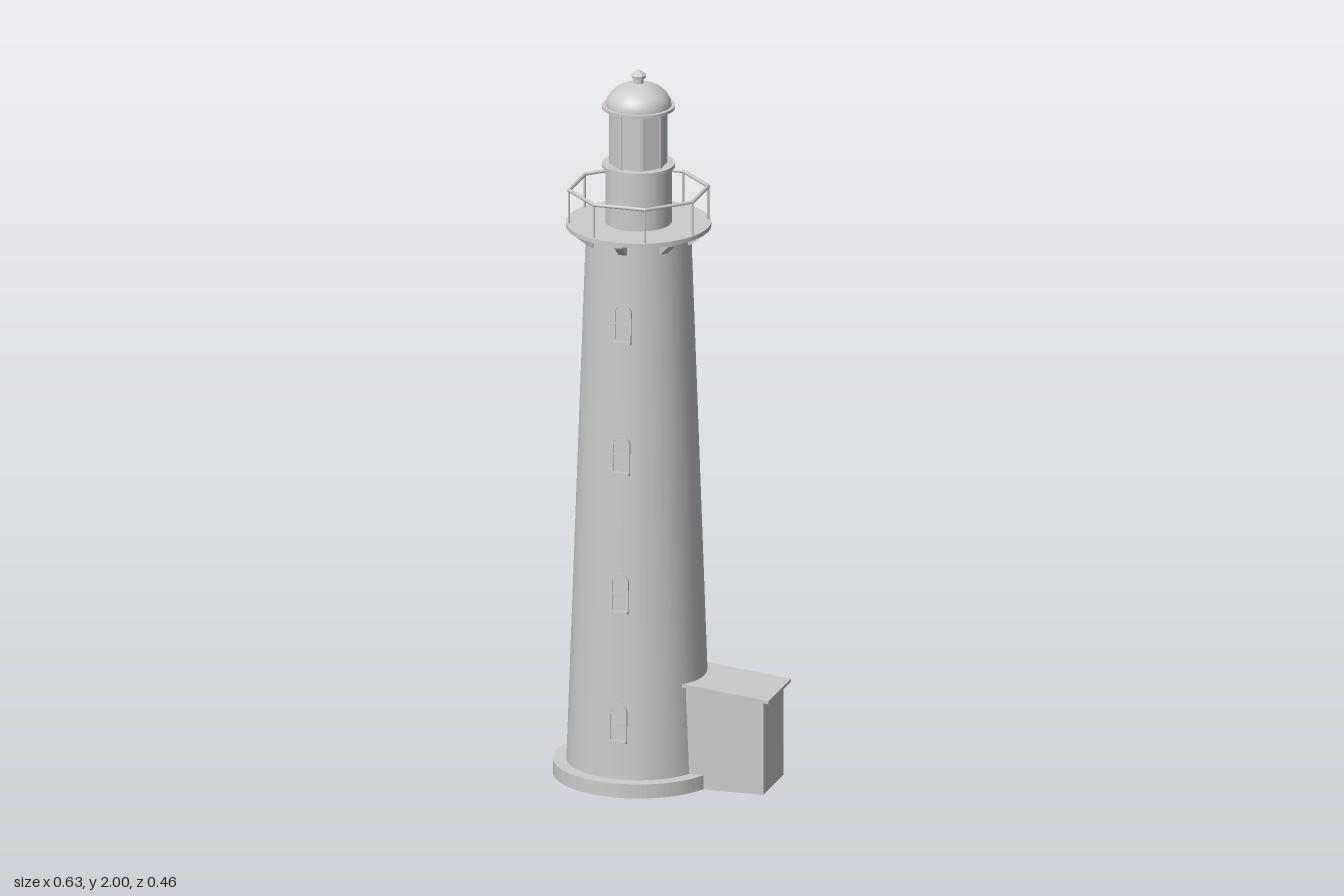
import * as THREE from 'three';

const material = new THREE.MeshStandardMaterial({ color: 0xcccccc });
const flat = new THREE.MeshStandardMaterial({ color: 0xcccccc, flatShading: true });
const open = new THREE.MeshStandardMaterial({ color: 0xcccccc, side: THREE.DoubleSide });

const TOWER_X = -0.085;
const TOWER_BOTTOM = 0.197, TOWER_TOP = 0.142, TOWER_HEIGHT = 1.56;
const towerRadius = (y) => THREE.MathUtils.lerp(TOWER_BOTTOM, TOWER_TOP, y / TOWER_HEIGHT);

function add(parent, name, geometry, x = 0, y = 0, z = 0, mat = material) {
  const mesh = new THREE.Mesh(geometry, mat);
  mesh.name = name;
  mesh.position.set(x, y, z);
  parent.add(mesh);
  return mesh;
}

// Upright cylinder given by its bottom and top heights
function drum(parent, name, rBottom, rTop, y0, y1, sides = 48, mat = material) {
  return add(parent, name, new THREE.CylinderGeometry(rTop, rBottom, y1 - y0, sides), 0, (y0 + y1) / 2, 0, mat);
}

// Round-headed outline standing on y = 0
function arch(Type, halfWidth, height, lift = 0) {
  const path = new Type();
  path.moveTo(-halfWidth, lift);
  path.lineTo(halfWidth, lift);
  path.lineTo(halfWidth, height - halfWidth);
  path.absarc(0, height - halfWidth, halfWidth, 0, Math.PI, false);
  path.closePath();
  return path;
}

function createWindow() {
  const win = new THREE.Group();
  win.name = 'window';
  const frame = arch(THREE.Shape, 0.026, 0.11);
  frame.holes.push(arch(THREE.Path, 0.019, 0.103, 0.007));
  const extrude = (shape, depth) => new THREE.ExtrudeGeometry(shape, { depth, bevelEnabled: false, curveSegments: 10 });
  add(win, 'windowFrame', extrude(frame, 0.012), 0, 0, -0.007);
  add(win, 'windowPane', extrude(arch(THREE.Shape, 0.02, 0.104, 0.006), 0.008), 0, 0, -0.007);
  add(win, 'windowBar', new THREE.BoxGeometry(0.04, 0.004, 0.004), 0, 0.055, 0.002);
  add(win, 'windowSill', new THREE.BoxGeometry(0.052, 0.008, 0.022), 0, 0.002, 0.002);
  return win;
}

// Box between two heights whose top slopes from yInner (at x0) to yOuter (at x1)
function slopedBlock(x0, x1, halfDepth, bottomInner, bottomOuter, topInner, topOuter) {
  const shape = new THREE.Shape([
    new THREE.Vector2(x0, bottomInner), new THREE.Vector2(x1, bottomOuter),
    new THREE.Vector2(x1, topOuter), new THREE.Vector2(x0, topInner),
  ]);
  return new THREE.ExtrudeGeometry(shape, { depth: halfDepth * 2, bevelEnabled: false }).translate(0, 0, -halfDepth);
}

function createTower() {
  const tower = new THREE.Group();
  tower.name = 'tower';
  add(tower, 'towerWall', new THREE.CylinderGeometry(TOWER_TOP, TOWER_BOTTOM, TOWER_HEIGHT, 48, 1, true), 0, TOWER_HEIGHT / 2, 0, open);

  // Plinth ring, open in the middle
  const ring = new THREE.Shape().absarc(0, 0, 0.232, 0, Math.PI * 2);
  ring.holes.push(new THREE.Path().absarc(0, 0, 0.19, 0, Math.PI * 2));
  const plinth = new THREE.ExtrudeGeometry(ring, { depth: 0.04, bevelEnabled: false, curveSegments: 48 });
  add(tower, 'plinth', plinth.rotateX(-Math.PI / 2));

  // Four windows each on the front and the back
  const lean = Math.atan((TOWER_BOTTOM - TOWER_TOP) / TOWER_HEIGHT);
  for (const side of [0, Math.PI]) {
    const column = new THREE.Group();
    column.name = 'windowColumn';
    column.rotation.y = side;
    for (const y of [0.145, 0.51, 0.9, 1.27]) {
      const win = createWindow();
      win.position.set(0, y, towerRadius(y));
      win.rotation.x = -lean;
      column.add(win);
    }
    tower.add(column);
  }
  return tower;
}

function createGallery() {
  const gallery = new THREE.Group();
  gallery.name = 'gallery';
  drum(gallery, 'deck', 0.197, 0.197, 1.557, 1.569);

  // Wedge brackets under the deck
  const wedge = new THREE.Shape([
    new THREE.Vector2(0.13, 1.518), new THREE.Vector2(0.148, 1.518),
    new THREE.Vector2(0.188, 1.55), new THREE.Vector2(0.188, 1.558), new THREE.Vector2(0.13, 1.558),
  ]);
  const bracket = new THREE.ExtrudeGeometry(wedge, { depth: 0.022, bevelEnabled: false }).translate(0, 0, -0.011);

  // Eight-sided railing with a post at every corner
  const apothem = 0.175, railY = 1.663;
  const corner = apothem / Math.cos(Math.PI / 8);
  const side = 2 * apothem * Math.tan(Math.PI / 8);
  const rail = new THREE.CylinderGeometry(0.005, 0.005, side + 0.004, 8).rotateX(Math.PI / 2);
  const post = new THREE.CylinderGeometry(0.003, 0.003, 0.096, 6);
  for (let i = 0; i < 8; i++) {
    const a = (i * Math.PI) / 4, b = a + Math.PI / 8;
    add(gallery, 'bracket', bracket).rotation.y = a;
    add(gallery, 'handrail', rail, apothem * Math.cos(a), railY, -apothem * Math.sin(a)).rotation.y = a;
    add(gallery, 'railPost', post, corner * Math.cos(b), 1.615, -corner * Math.sin(b));
  }
  return gallery;
}

function createLantern() {
  const lantern = new THREE.Group();
  lantern.name = 'lantern';
  drum(lantern, 'watchRoom', 0.09, 0.09, 1.565, 1.728);
  drum(lantern, 'watchRoomCornice', 0.099, 0.099, 1.726, 1.736);

  // Eight-sided glazed room with corner bars
  const radius = 0.079;
  drum(lantern, 'lanternGlass', radius, radius, 1.734, 1.897, 8, flat).rotation.y = Math.PI / 8;
  const bar = new THREE.BoxGeometry(0.006, 0.16, 0.008);
  for (let i = 0; i < 8; i++) {
    const a = ((i + 0.5) * Math.PI) / 4;
    add(lantern, 'glazingBar', bar, (radius - 0.002) * Math.cos(a), 1.815, -(radius - 0.002) * Math.sin(a)).rotation.y = a;
  }

  // Domed roof and finial
  drum(lantern, 'eaves', 0.099, 0.099, 1.893, 1.901);
  const dome = new THREE.SphereGeometry(0.089, 32, 12, 0, Math.PI * 2, 0, Math.PI / 2);
  add(lantern, 'dome', dome, 0, 1.9, 0).scale.y = 0.72;
  drum(lantern, 'finialNeck', 0.014, 0.014, 1.955, 1.981, 8, flat);
  drum(lantern, 'finialRim', 0.02, 0.021, 1.979, 1.986, 8, flat);
  drum(lantern, 'finialCap', 0.021, 0.004, 1.986, 2.0, 8, flat);
  return lantern;
}

function createAnnex() {
  const annex = new THREE.Group();
  annex.name = 'annex';
  add(annex, 'annexWalls', slopedBlock(0.06, 0.297, 0.093, 0, 0, 0.29, 0.266));
  add(annex, 'annexRoof', slopedBlock(0.06, 0.315, 0.103, 0.289, 0.263, 0.298, 0.272));

  // Door on the back wall, inside a raised frame
  const doorX = 0.22, z = -0.093;
  add(annex, 'door', new THREE.BoxGeometry(0.085, 0.205, 0.004), doorX, 0.1025, z);
  for (const s of [-1, 1]) {
    add(annex, 'doorJamb', new THREE.BoxGeometry(0.008, 0.213, 0.01), doorX + s * 0.046, 0.1065, z);
  }
  add(annex, 'doorLintel', new THREE.BoxGeometry(0.1, 0.008, 0.01), doorX, 0.213, z);
  return annex;
}

export function createModel() {
  const model = new THREE.Group();
  model.name = 'lighthouse';
  const shaft = new THREE.Group();
  shaft.name = 'lighthouseTower';
  shaft.position.x = TOWER_X;
  shaft.add(createTower(), createGallery(), createLantern());
  model.add(shaft, createAnnex());
  return model;
}
